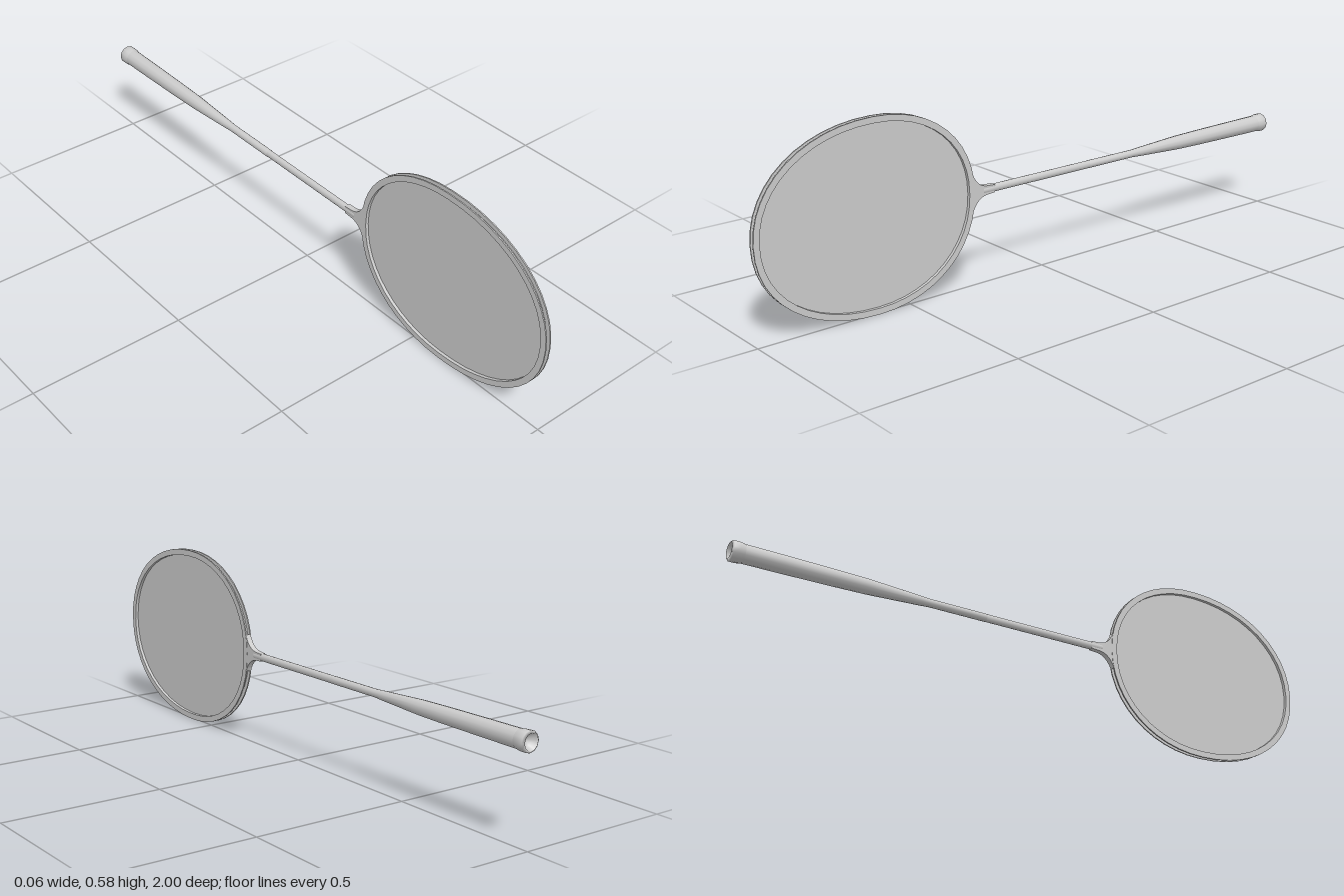
import * as THREE from 'three';

const CY = 0.2925;   // height of the racket axis
const CZ = 0.61;     // widest point of the head
const SEG = 48;

// Point on the egg-shaped head outline, moved inwards by inset
function headPoint(i, inset) {
  const t = (i / SEG) * Math.PI * 2, c = Math.cos(t), s = Math.sin(t);
  const power = 0.95;
  const rz = (c > 0 ? 0.39 : 0.345) - inset;
  return {
    z: CZ + rz * Math.sign(c) * Math.abs(c) ** power,
    y: CY + (CY - inset) * Math.sign(s) * Math.abs(s) ** power,
  };
}

// Sweep a closed [inset, x] section round the head, one smooth strip per side
function sweepFrame(section) {
  const pos = [], index = [];
  section.forEach((a, k) => {
    const b = section[(k + 1) % section.length], base = pos.length / 3;
    for (let i = 0; i < SEG; i++) {
      for (const [inset, x] of [a, b]) {
        const p = headPoint(i, inset);
        pos.push(x, p.y, p.z);
      }
      const p = base + i * 2, q = base + ((i + 1) % SEG) * 2;
      index.push(p, p + 1, q, q, p + 1, q + 1);
    }
  });
  const g = new THREE.BufferGeometry();
  g.setAttribute('position', new THREE.Float32BufferAttribute(pos, 3));
  g.setIndex(index);
  g.computeVertexNormals();
  return g;
}

// Turned part along z from [radius, z] pairs
function turned(points, sides) {
  const g = new THREE.LatheGeometry(points.map(([r, z]) => new THREE.Vector2(r, z)), sides);
  return g.rotateX(Math.PI / 2);
}

export function createModel() {
  const root = new THREE.Group();
  const grey = new THREE.MeshStandardMaterial({ color: 0xcccccc, side: THREE.DoubleSide });
  grey.name = 'light grey';
  const add = (name, geometry, y = 0) => {
    const mesh = new THREE.Mesh(geometry, grey);
    mesh.name = name;
    mesh.position.y = y;
    root.add(mesh);
    return mesh;
  };

  // Channel-shaped rim with a groove round its outside
  add('rim', sweepFrame([
    [0, 0.01], [0, 0.006], [0.013, 0.006], [0.013, -0.006],
    [0, -0.006], [0, -0.01], [0.019, -0.01], [0.019, 0.01],
  ]));

  // String bed as a single thin sheet
  const outline = [];
  for (let i = 0; i < SEG; i++) {
    const p = headPoint(i, 0.017);
    outline.push(new THREE.Vector2(p.z, p.y));
  }
  add('stringBed', new THREE.ShapeGeometry(new THREE.Shape(outline)).rotateY(-Math.PI / 2));

  // Throat flaring from the shaft into the rim
  const throat = new THREE.Shape();
  throat.moveTo(0.19, -0.012);
  throat.lineTo(0.22, -0.014);
  throat.quadraticCurveTo(0.255, -0.018, 0.272, -0.06);
  throat.lineTo(0.283, -0.05);
  throat.lineTo(0.283, 0.05);
  throat.lineTo(0.272, 0.06);
  throat.quadraticCurveTo(0.255, 0.018, 0.22, 0.014);
  throat.lineTo(0.19, 0.012);
  const throatGeo = new THREE.ExtrudeGeometry(throat, { depth: 0.018, bevelEnabled: false, curveSegments: 6 });
  add('throat', throatGeo.translate(0, 0, -0.009).rotateY(-Math.PI / 2), CY);

  // Slim shaft, slightly flattened
  const shaft = add('shaft', turned([[0.0125, -0.2], [0.0125, 0.23], [0, 0.24]], 12), CY);
  shaft.scale.x = 0.85;

  // Grip cone and handle
  add('handle', turned([
    [0.028, -0.992], [0.027, -0.85], [0.025, -0.68], [0.023, -0.58],
    [0.0145, -0.41], [0.0125, -0.38], [0.0125, -0.19], [0, -0.19],
  ], 12), CY);

  // Butt cap with a dished end
  add('buttCap', turned([
    [0, -0.978], [0.016, -0.982], [0.024, -1], [0.0305, -0.995], [0.0305, -0.975], [0.028, -0.96],
  ], 12), CY);

  return root;
}
